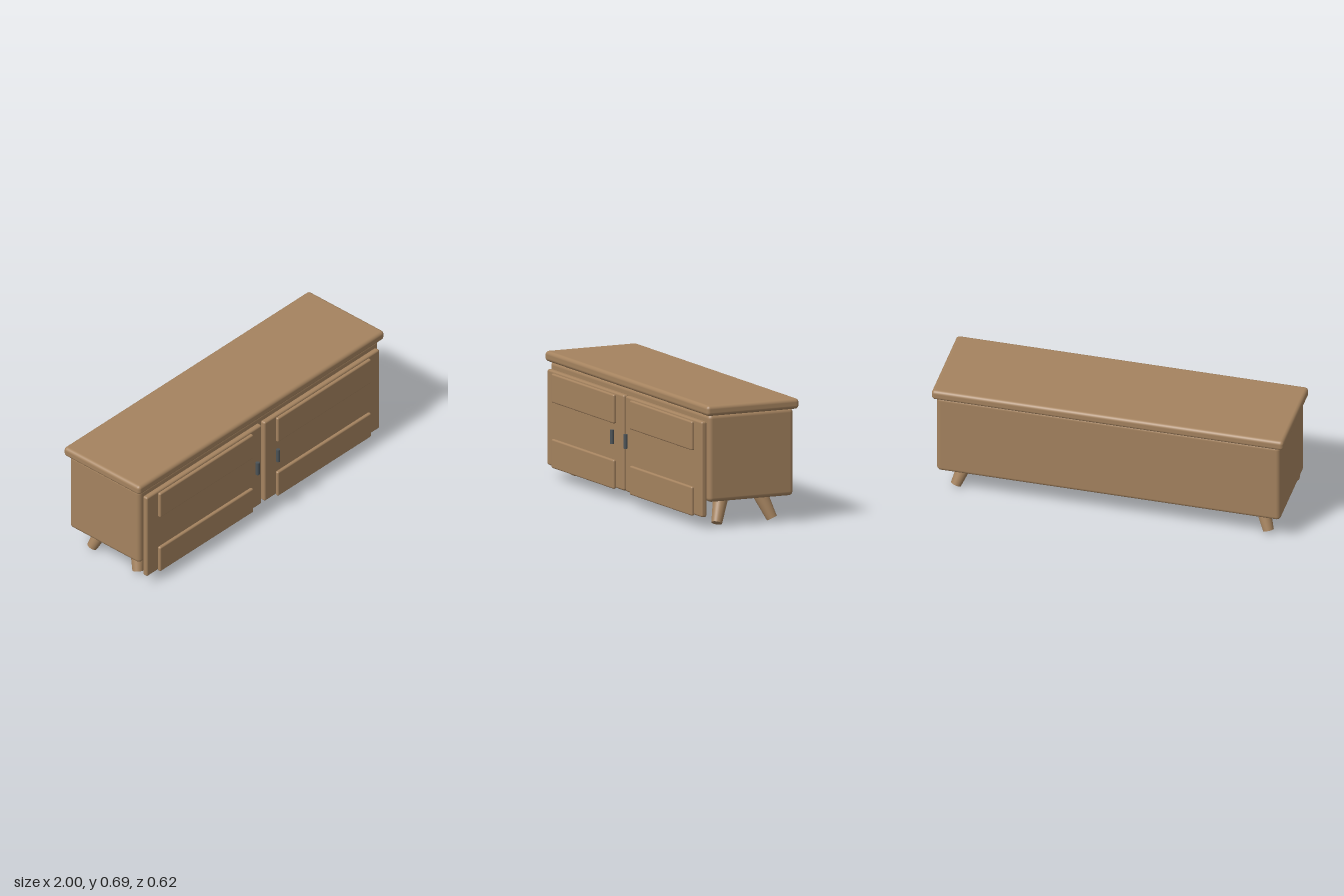
import * as THREE from 'three';
import { RoundedBoxGeometry } from 'three/addons/geometries/RoundedBoxGeometry.js';

export function createModel() {
  const wood = new THREE.MeshStandardMaterial({ color: 0xa5835f });
  wood.name = 'wood';
  const metal = new THREE.MeshStandardMaterial({ color: 0x4c5357 });
  metal.name = 'dark metal';

  const model = new THREE.Group();
  model.name = 'sideboard';

  // Rounded wooden block given by its extents on each axis
  function block(name, [x0, x1], [y0, y1], [z0, z1], radius) {
    const geometry = new RoundedBoxGeometry(x1 - x0, y1 - y0, z1 - z0, 4, radius);
    const mesh = new THREE.Mesh(geometry, wood);
    mesh.position.set((x0 + x1) / 2, (y0 + y1) / 2, (z0 + z1) / 2);
    mesh.name = name;
    return mesh;
  }

  // Carcass and overhanging top
  model.add(block('cabinet', [-0.977, 0.977], [0.148, 0.637], [-0.287, 0.235], 0.024));
  model.add(block('top', [-1, 1], [0.633, 0.691], [-0.31, 0.257], 0.02));

  const up = new THREE.Vector3(0, 1, 0);
  const midZ = -0.026;

  for (const side of [-1, 1]) {
    const label = side > 0 ? 'left' : 'right';
    const span = (a, b) => (side > 0 ? [a, b] : [-b, -a]);

    // Door with two raised panels
    const door = new THREE.Group();
    door.name = label + 'Door';
    door.add(block('doorSlab', span(0.011, 0.948), [0.063, 0.597], [0.234, 0.267], 0.011));
    door.add(block('upperPanel', span(0.099, 0.86), [0.425, 0.587], [0.264, 0.286], 0.009));
    door.add(block('lowerPanel', span(0.099, 0.86), [0.06, 0.222], [0.264, 0.286], 0.009));

    // Upright bar handle
    const handle = new THREE.Mesh(new THREE.CylinderGeometry(0.0115, 0.0115, 0.079, 24), metal);
    handle.position.set(side * 0.083, 0.356, 0.3005);
    handle.name = 'handle';
    door.add(handle);
    model.add(door);

    // Tapered legs splayed towards the corners
    for (const end of [-1, 1]) {
      const foot = new THREE.Vector3(side * 0.888, 0.0145, midZ + end * 0.17);
      const head = new THREE.Vector3(side * 0.836, 0.156, midZ + end * 0.118);
      const axis = head.clone().sub(foot);
      const leg = new THREE.Mesh(new THREE.CylinderGeometry(0.043, 0.03, axis.length(), 32), wood);
      leg.position.copy(foot).add(head).multiplyScalar(0.5);
      leg.quaternion.setFromUnitVectors(up, axis.normalize());
      leg.name = label + (end > 0 ? 'FrontLeg' : 'BackLeg');
      model.add(leg);
    }
  }

  return model;
}
